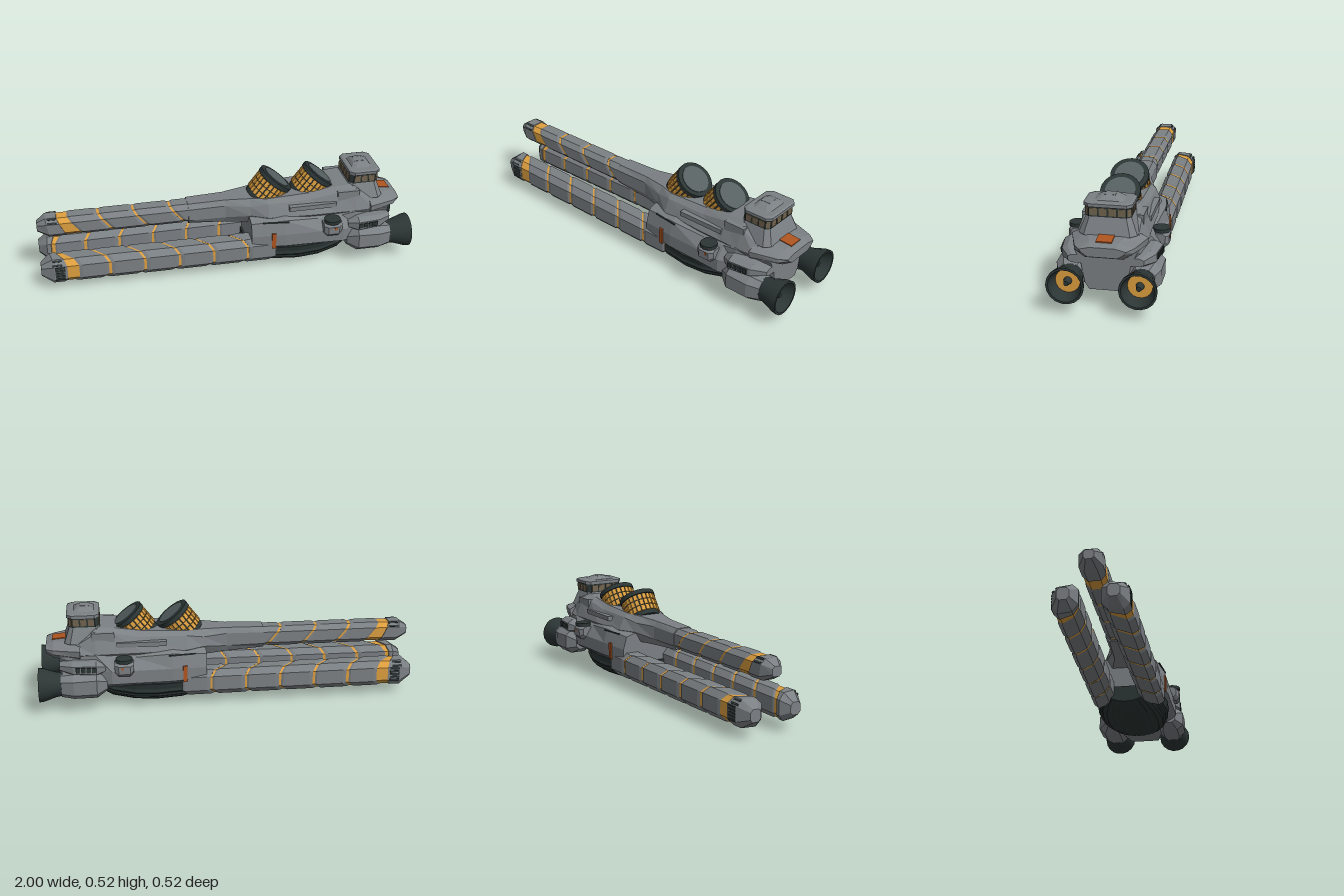
import * as THREE from 'three';
import { toCreasedNormals } from 'three/addons/utils/BufferGeometryUtils.js';

const mat = (name, color, side = THREE.FrontSide) => {
  const m = new THREE.MeshStandardMaterial({ color, side });
  m.name = name;
  return m;
};

export function createModel() {
  const model = new THREE.Group();
  model.name = 'spaceship';
  const grey = mat('hullGrey', 0x7b8084);
  const dark = mat('darkMetal', 0x2c3635, THREE.DoubleSide);
  const gold = mat('gold', 0xdd9f3f);
  const orange = mat('orangePaint', 0xae5420);
  const glass = mat('windowBrown', 0x71644f);
  const lid = mat('lidGrey', 0x566061);

  const add = (name, geo, m, x = 0, y = 0, z = 0, parent = model) => {
    const mesh = new THREE.Mesh(geo, m);
    mesh.name = name;
    mesh.position.set(x, y, z);
    parent.add(mesh);
    return mesh;
  };
  const box = (name, m, sx, sy, sz, x, y, z, parent) =>
    add(name, new THREE.BoxGeometry(sx, sy, sz), m, x, y, z, parent);
  const creased = (g) => toCreasedNormals(g, 0.5);

  // Flat-shaded skin through rings of points, with both ends capped
  const loft = (rings) => {
    const p = [], n = rings[0].length, last = rings.length - 1;
    const tri = (a, b, c) => p.push(...a, ...b, ...c);
    for (let i = 0; i < last; i++) {
      for (let j = 0; j < n; j++) {
        const k = (j + 1) % n, A = rings[i], B = rings[i + 1];
        tri(A[j], A[k], B[k]);
        tri(A[j], B[k], B[j]);
      }
    }
    for (let j = 1; j < n - 1; j++) {
      tri(rings[0][0], rings[0][j + 1], rings[0][j]);
      tri(rings[last][0], rings[last][j], rings[last][j + 1]);
    }
    const g = new THREE.BufferGeometry();
    g.setAttribute('position', new THREE.Float32BufferAttribute(p, 3));
    g.computeVertexNormals();
    return g;
  };
  // Symmetric ring at x from a half profile of [z, y], top to bottom
  const sym = ([x, ...half]) => [
    ...half.map(([z, y]) => [x, y, z]),
    ...half.slice().reverse().map(([z, y]) => [x, y, -z])];
  // Chamfered rectangle across x, sheared along x
  const octX = (x, cy, cz, hy, hz, ky = 0, kz = 0, c = 0.55) =>
    [[1, c], [c, 1], [-c, 1], [-1, c], [-1, -c], [-c, -1], [c, -1], [1, -c]]
      .map(([v, w]) => [x + ky * v * hy + kz * w * hz, cy + v * hy, cz + w * hz]);
  // Chamfered rectangle across y
  const octY = (y, x0, x1, hz, c) => {
    const a = (x0 + x1) / 2, h = (x1 - x0) / 2;
    return [[h - c, hz], [h, hz - c], [h, c - hz], [h - c, -hz],
      [c - h, -hz], [-h, c - hz], [-h, hz - c], [c - h, hz]].map(([x, z]) => [a + x, y, z]);
  };

  // Main hull
  add('lowerHull', loft([
    [0.12, [0.12, 0.295], [0.165, 0.28], [0.185, 0.21], [0.185, 0.15], [0.15, 0.125]],
    [0.3, [0.15, 0.31], [0.19, 0.295], [0.21, 0.22], [0.21, 0.15], [0.17, 0.12]],
    [0.5, [0.15, 0.3], [0.175, 0.28], [0.215, 0.22], [0.215, 0.15], [0.17, 0.12]],
    [0.62, [0.15, 0.305], [0.175, 0.285], [0.22, 0.22], [0.22, 0.15], [0.17, 0.12]],
    [0.7, [0.15, 0.315], [0.18, 0.3], [0.19, 0.22], [0.19, 0.14], [0.14, 0.1]],
    [0.89, [0.13, 0.31], [0.15, 0.29], [0.12, 0.23], [0.1, 0.12], [0.08, 0.09]],
  ].map(sym)), grey);
  add('upperDeck', loft([
    [-0.2, [0.04, 0.373], [0.061, 0.347], [0.061, 0.283], [0.04, 0.257]],
    [0, [0.045, 0.378], [0.062, 0.35], [0.062, 0.28], [0.045, 0.245]],
    [0.13, [0.07, 0.385], [0.1, 0.35], [0.11, 0.3], [0.08, 0.245]],
    [0.22, [0.1, 0.39], [0.125, 0.37], [0.155, 0.3], [0.12, 0.245]],
    [0.45, [0.1, 0.4], [0.13, 0.375], [0.17, 0.3], [0.14, 0.25]],
    [0.6, [0.1, 0.422], [0.135, 0.4], [0.172, 0.3], [0.14, 0.25]],
    [0.7, [0.1, 0.43], [0.14, 0.405], [0.175, 0.3], [0.14, 0.25]],
    [0.8, [0.1, 0.365], [0.14, 0.345], [0.17, 0.3], [0.12, 0.25]],
  ].map(sym)), grey);
  add('tail', loft([
    [0.78, [0.11, 0.36], [0.185, 0.325], [0.18, 0.29], [0.12, 0.24]],
    [0.92, [0.07, 0.347], [0.14, 0.322], [0.14, 0.3], [0.09, 0.265]],
    [0.96, [0.06, 0.332], [0.11, 0.32], [0.1, 0.305], [0.07, 0.285]],
  ].map(sym)), grey);
  box('tailMarking', orange, 0.09, 0.006, 0.076, 0.883, 0.352, 0).rotation.z = -0.093;

  // Ribbed keel
  add('keel', loft([
    [0.11, 0.11, 0.09], [0.16, 0.15, 0.11], [0.25, 0.185, 0.125], [0.38, 0.2, 0.13],
    [0.5, 0.19, 0.125], [0.62, 0.15, 0.105], [0.69, 0.09, 0.075],
  ].map(([x, w, d]) => Array.from({ length: 33 }, (_, j) => {
    const a = Math.PI * j / 32, r = j % 2 ? 0.97 : 1;
    return [x, 0.13 - d * r * Math.pow(Math.max(Math.sin(a), 0), 0.6), w * r * Math.cos(a)];
  }))), dark);

  // Prongs: gold core, sheared armour segments, pointed tip
  const prong = (name, ringAt, tipEnd, cuts, end) => {
    const group = new THREE.Group();
    group.name = name;
    model.add(group);
    add('core', loft([ringAt(-0.93, 0.93, 0.4), ringAt(tipEnd + 0.03, 0.93, 0.9), ringAt(end, 0.91, 1)]),
      gold, 0, 0, 0, group);
    add('tip', loft([ringAt(-1, 0.45, 0), ringAt(-0.945, 1, 0.2), ringAt(tipEnd, 1, 0.6)]), grey, 0, 0, 0, group);
    cuts.forEach((a, i) => {
      const b = (cuts[i + 1] ?? end + 0.01) - 0.012;
      add('armourSegment', loft([ringAt(a, 0.92, 1), ringAt(a + 0.015, 1, 1),
        ringAt(b - 0.015, 1, 1), ringAt(b, 0.92, 1)]), grey, 0, 0, 0, group);
    });
    return group;
  };
  const upper = prong('upperProng', (x, s, k) => octX(x, 0.315, 0, 0.055 * s, 0.058 * s, -0.8 * k),
    -0.87, [-0.8, -0.63, -0.445, -0.25], -0.1);
  for (const s of [1, -1]) {
    const cz = (x) => s * (0.13 + 0.014 * x);
    const g = prong('lowerProng', (x, k, sh) => octX(x, 0.12, cz(x), 0.07 * k, 0.065 * k, 0, 0.9 * s * sh),
      -0.9, [-0.86, -0.69, -0.505, -0.32, -0.135, 0.05], 0.2);
    // Dark grilles on the outer sides and upper bevels of the tips
    for (let i = 0; i < 5; i++)
      box('tipGrille', dark, 0.052, 0.011, 0.008, -0.903, 0.088 + i * 0.016, s * 0.181, g);
    for (let i = 0; i < 2; i++) {
      const t = (i - 0.5) * 0.016;
      box('bevelGrille', dark, 0.05, 0.01, 0.008, -0.915, 0.174 - t, s * (0.167 + t), g).rotation.x = -s * 0.79;
      box('bevelGrille', dark, 0.05, 0.01, 0.008, -0.92, 0.357 - t, s * (0.045 + t), upper).rotation.x = -s * 0.79;
    }
  }

  // Tilted drums with gold slats
  for (const x of [0.294, 0.535]) {
    const drum = new THREE.Group();
    drum.name = 'launchDrum';
    drum.position.set(x, 0.46, 0);
    drum.rotation.z = -0.657;
    model.add(drum);
    add('drumBody', creased(new THREE.CylinderGeometry(0.092, 0.092, 0.15, 24)), dark, 0, -0.075, 0, drum);
    add('drumRim', creased(new THREE.CylinderGeometry(0.1, 0.1, 0.024, 24)), dark, 0, -0.012, 0, drum);
    add('drumLid', new THREE.CylinderGeometry(0.076, 0.076, 0.006, 24), lid, 0, 0.001, 0, drum);
    for (let i = 0; i < 24; i++) for (const y of [-0.042, -0.076, -0.11]) {
      const a = (i + 0.5) / 24 * Math.PI * 2;
      box('goldSlat', gold, 0.018, 0.029, 0.01, Math.sin(a) * 0.092, y, Math.cos(a) * 0.092, drum).rotation.y = a;
    }
  }

  // Bridge
  add('bridgeTower', loft([octY(0.35, 0.64, 0.86, 0.14, 0.03), octY(0.435, 0.675, 0.83, 0.107, 0.02)]), grey);
  add('windowBand', loft([octY(0.434, 0.675, 0.835, 0.11, 0.02), octY(0.486, 0.68, 0.835, 0.11, 0.02)]), dark);
  add('bridgeRoof', loft([octY(0.484, 0.675, 0.845, 0.117, 0.025), octY(0.5, 0.675, 0.845, 0.117, 0.025),
    octY(0.505, 0.685, 0.835, 0.105, 0.025)]), grey);
  add('roofDome', loft([octY(0.503, 0.7, 0.81, 0.075, 0.02), octY(0.519, 0.715, 0.79, 0.045, 0.015),
    octY(0.525, 0.725, 0.775, 0.02, 0.01)]), grey);
  box('roofHatch', grey, 0.05, 0.02, 0.05, 0.75, 0.515, 0);
  for (const z of [-0.0675, -0.0225, 0.0225, 0.0675]) {
    box('rearWindow', glass, 0.006, 0.036, 0.036, 0.835, 0.459, z);
    box('frontWindow', glass, 0.009, 0.036, 0.036, 0.677, 0.459, z);
  }
  for (const s of [1, -1]) {
    for (const x of [0.718, 0.757, 0.796])
      box('sideWindow', glass, 0.031, 0.036, 0.005, x, 0.459, s * 0.1095);
    box('cornerWindow', glass, 0.02, 0.036, 0.005, 0.825, 0.459, s * 0.1).rotation.y = s * Math.PI / 4;
  }

  // Paired parts on both flanks
  const nozzle = [[0.055, 0.85], [0.062, 0.88], [0.066, 0.91], [0.088, 0.975], [0.091, 1], [0.08, 1], [0.058, 0.93]]
    .map(([r, y]) => new THREE.Vector2(r, y));
  for (const s of [1, -1]) {
    const zc = s * 0.171;
    add('nacelle', loft([octX(0.645, 0.145, s * 0.17, 0.035, 0.04), octX(0.7, 0.15, s * 0.175, 0.07, 0.078),
      octX(0.82, 0.147, s * 0.175, 0.068, 0.078), octX(0.885, 0.146, zc, 0.058, 0.06)]), grey);
    add('nacelleFairing', loft([octX(0.65, 0.235, s * 0.165, 0.02, 0.04), octX(0.7, 0.24, s * 0.17, 0.04, 0.07),
      octX(0.82, 0.24, s * 0.165, 0.035, 0.06), octX(0.89, 0.24, s * 0.14, 0.02, 0.04)]), grey);
    for (let i = 0; i < 4; i++)
      box('fairingVent', dark, 0.022, 0.026, 0.008, 0.71 + i * 0.028, 0.242, s * (0.239 - i * 0.0025));
    add('engineNozzle', creased(new THREE.LatheGeometry(nozzle, 18)), dark, 0, 0.146, zc).rotation.z = -Math.PI / 2;
    add('engineGlow', new THREE.CircleGeometry(0.06, 18), gold, 0.935, 0.146, zc).rotation.y = Math.PI / 2;
    add('engineHub', creased(new THREE.CylinderGeometry(0.012, 0.021, 0.04, 12)), dark, 0.952, 0.146, zc)
      .rotation.z = -Math.PI / 2;

    // Side turret
    add('turretBody', loft([octX(0.505, 0.245, s * 0.205, 0.028, 0.03), octX(0.525, 0.237, s * 0.212, 0.038, 0.039),
      octX(0.585, 0.237, s * 0.212, 0.038, 0.039), octX(0.605, 0.245, s * 0.205, 0.028, 0.03)]), grey);
    add('turretCap', creased(new THREE.CylinderGeometry(0.044, 0.044, 0.018, 12)), dark, 0.555, 0.282, s * 0.21);
    box('turretMark', orange, 0.012, 0.014, 0.006, 0.565, 0.248, s * 0.25);

    // Painted stripe, shoulder strakes and shadow line
    box('sideStripe', orange, 0.022, 0.09, 0.008, 0.237, 0.185, s * 0.203).rotation.y = -s * 0.118;
    box('shoulderStrake', grey, 0.26, 0.025, 0.03, 0.46, 0.345, s * 0.15);
    box('shoulderBlock', grey, 0.12, 0.05, 0.03, 0.66, 0.385, s * 0.135);
    box('shoulderVent', dark, 0.14, 0.007, 0.008, 0.25, 0.287, s * 0.186).rotation.y = -s * 0.13;
  }
  return model;
}
